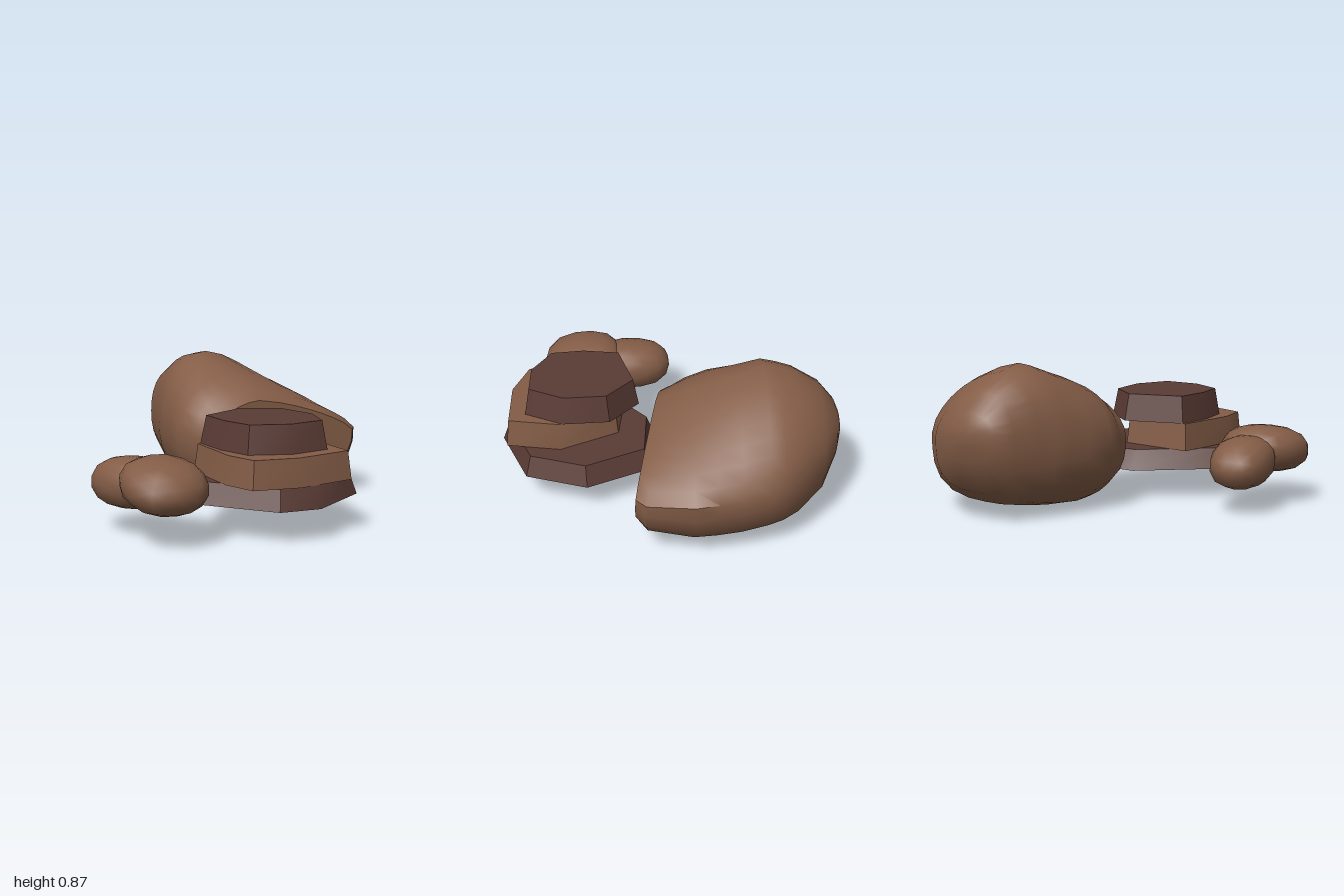
import * as THREE from 'three';
import { mergeVertices, toCreasedNormals } from 'three/addons/utils/BufferGeometryUtils.js';

const brown = new THREE.MeshStandardMaterial({ name: 'brownStone', color: 0x845d47 });
const dark = new THREE.MeshStandardMaterial({ name: 'darkStone', color: 0x5a3b35 });

function fromTriangles(positions, index, crease) {
  const g = new THREE.BufferGeometry();
  g.setAttribute('position', new THREE.Float32BufferAttribute(positions, 3));
  g.setIndex(index);
  return toCreasedNormals(g, crease);
}

// Boulder lofted along x, ending in a slanted flat face on its left side
function boulderGeometry() {
  // x, lowest y, highest y, back z, front z, z of ridge, y of girth, slant (1 = parallel to the flat face)
  const sections = [
    [-0.965, 0.45, 0.57, -0.43, -0.26, -0.34, 0.51, 0],
    [-0.94, 0.35, 0.63, -0.51, -0.18, -0.34, 0.49, 0],
    [-0.85, 0.17, 0.74, -0.66, -0.11, -0.33, 0.46, 0],
    [-0.70, 0.08, 0.83, -0.81, -0.05, -0.32, 0.44, 0],
    [-0.61, 0.06, 0.85, -0.88, 0.0, -0.31, 0.43, 0],
    [-0.53, 0.045, 0.865, -0.915, 0.035, -0.31, 0.42, 0],
    [-0.38, 0.02, 0.815, -0.955, 0.08, -0.31, 0.41, 0],
    [-0.24, 0.005, 0.77, -0.98, 0.13, -0.31, 0.41, 0],
    [-0.11, 0.0, 0.725, -1.0, 0.10, -0.31, 0.41, 0],
    [-0.04, 0.03, 0.675, -0.955, 0.08, -0.28, 0.40, 1],
    [0.03, 0.075, 0.625, -0.89, 0.07, -0.25, 0.40, 1],
  ];
  const n = 28, rings = sections.length, pos = [], idx = [];
  const put = (x, y, z, slant) => pos.push(x - slant * (0.2 * z + 0.06 * (y - 0.4)), y, z);
  sections.forEach(([x, lo, hi, back, front, ridge, mid, slant], row) => {
    const t = row / (rings - 1);
    for (let i = 0; i < n; i++) {
      const a = (i / n) * Math.PI * 2, c = Math.cos(a), s = Math.sin(a);
      // Roundness of each quarter of the cross-section
      const upper = c < 0 ? 1.65 - 0.33 * t : 2.4 - 0.6 * t;
      const lower = c < 0 ? 3.6 - 1.3 * t : 2.2 + 0.2 * t;
      const e = s > 0 ? upper : lower;
      const r = Math.pow(Math.abs(c) ** e + Math.abs(s) ** e, -1 / e);
      put(x, mid + r * s * (s > 0 ? hi - mid : mid - lo),
        ridge + r * c * (c > 0 ? front - ridge : ridge - back), slant);
    }
  });
  const start = rings * n, last = start - n;
  put(-0.973, 0.51, -0.35, 0);
  put(0.03, 0.36, -0.36, 1);
  for (let i = 0; i < n; i++) {
    const j = (i + 1) % n;
    for (let k = 0; k < last; k += n) {
      idx.push(k + i, k + n + i, k + j, k + j, k + n + i, k + n + j);
    }
    idx.push(start, i, j, start + 1, last + j, last + i);
  }
  return fromTriangles(pos, idx, 0.7);
}

// Flat tapered slab; outline holds [x, z] corners, clockwise from above
function slabGeometry(outline, y0, y1, taper) {
  const n = outline.length, pos = [], idx = [];
  const cx = outline.reduce((s, p) => s + p[0], 0) / n;
  const cz = outline.reduce((s, p) => s + p[1], 0) / n;
  for (const [y, k] of [[y0, 1], [y1, taper]]) {
    for (const [x, z] of outline) pos.push(cx + (x - cx) * k, y, cz + (z - cz) * k);
  }
  pos.push(cx, y0, cz, cx, y1, cz);
  for (let i = 0; i < n; i++) {
    const j = (i + 1) % n;
    idx.push(i, n + i, j, j, n + i, n + j);
    idx.push(2 * n, i, j, 2 * n + 1, n + j, n + i);
  }
  return fromTriangles(pos, idx, 0.7);
}

// Rounded pebble: a slightly boxy ellipsoid; lean tilts it up, skew turns it, along x
function pebbleGeometry([rx, ry, rz], lean, skew) {
  let g = new THREE.IcosahedronGeometry(1, 2);
  g.deleteAttribute('uv');
  g.deleteAttribute('normal');
  g = mergeVertices(g, 1e-4);
  const p = g.attributes.position, e = 2.4;
  for (let i = 0; i < p.count; i++) {
    const x = p.getX(i), y = p.getY(i), z = p.getZ(i);
    const k = Math.pow(Math.abs(x) ** e + Math.abs(y) ** e + Math.abs(z) ** e, -1 / e);
    p.setXYZ(i, x * k * rx, y * k * ry + lean * x * rx, z * k * rz + skew * x * rx);
  }
  g.computeVertexNormals();
  return g;
}

export function createModel() {
  const group = new THREE.Group();
  const add = (name, geometry, material, position = [0, 0, 0]) => {
    const mesh = new THREE.Mesh(geometry, material);
    mesh.name = name;
    mesh.position.set(...position);
    group.add(mesh);
  };

  add('boulder', boulderGeometry(), brown);

  // Stack of three slabs
  add('lowerSlab', slabGeometry([[0.47, -0.46], [0.82, -0.33], [0.97, 0.08], [0.90, 0.31],
    [0.43, 0.56], [0.06, 0.09], [0.09, -0.29]], 0.18, 0.30, 0.9), dark);
  add('middleSlab', slabGeometry([[0.62, -0.24], [0.93, -0.18], [0.92, 0.18], [0.82, 0.43],
    [0.62, 0.45], [0.22, 0.36], [0.28, -0.08]], 0.30, 0.46, 0.95), brown);
  add('upperSlab', slabGeometry([[0.33, -0.21], [0.60, -0.22], [0.82, -0.10], [0.81, 0.14],
    [0.68, 0.35], [0.47, 0.37], [0.24, 0.33], [0.155, -0.02]], 0.46, 0.62, 0.91), dark);

  // Two pebbles in front
  add('smallPebble', pebbleGeometry([0.25, 0.143, 0.175], 0.05, -0.08), brown, [0.18, 0.285, 0.757]);
  add('largePebble', pebbleGeometry([0.245, 0.14, 0.235], -0.13, 0.1), brown, [0.48, 0.32, 0.76]);
  return group;
}
